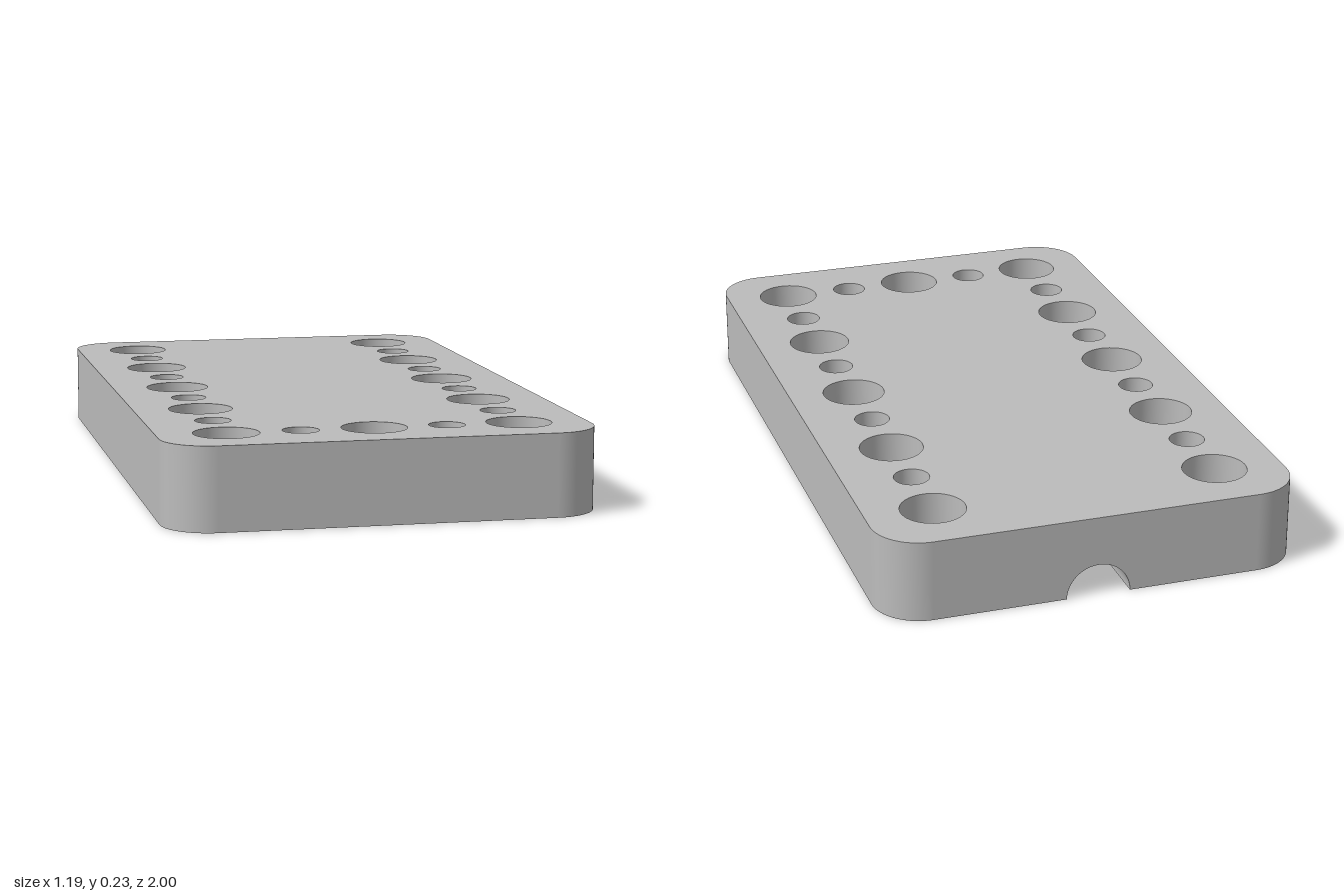
import * as THREE from 'three';

const W = 0.595, L = 1, H = 0.23;        // half width, half length, height
const R = 0.135;                         // corner radius
const CX = W - R, CZ = L - R;            // corner centres
const G = 0.09, G_END = 0.66;            // groove radius and its closed end
const PITCH = 0.405, BIG = 0.09, SMALL = 0.05;

// Hole pattern: a column down each side and a row along the front
function holeList() {
  const holes = [];
  for (const x of [-PITCH, PITCH]) {
    for (let i = -4; i <= 4; i++) {
      holes.push({ x, z: i * PITCH / 2, r: i % 2 ? SMALL : BIG });
    }
  }
  for (let i = -1; i <= 1; i++) {
    holes.push({ x: i * PITCH / 2, z: 2 * PITCH, r: i ? SMALL : BIG });
  }
  return holes;
}

// Rounded rectangle with holes; zSign maps z to the shape's y
function faceShape(holes, zSign, withSlot) {
  const s = new THREE.Shape();
  s.moveTo(-CX, -L);
  if (withSlot) {
    s.lineTo(-G, -L);
    s.lineTo(-G, G_END);
    s.lineTo(G, G_END);
    s.lineTo(G, -L);
  }
  s.lineTo(CX, -L);
  s.absarc(CX, -CZ, R, -Math.PI / 2, 0);
  s.absarc(CX, CZ, R, 0, Math.PI / 2);
  s.absarc(-CX, CZ, R, Math.PI / 2, Math.PI);
  s.absarc(-CX, -CZ, R, Math.PI, Math.PI * 1.5);
  for (const h of holes) {
    const p = new THREE.Path();
    p.absarc(h.x, zSign * h.z, h.r, 0, Math.PI * 2, true);
    s.holes.push(p);
  }
  return s;
}

export function createModel() {
  const model = new THREE.Group();
  model.name = 'drilledBlock';
  const grey = new THREE.MeshStandardMaterial({ color: 0xbcbcbc, side: THREE.DoubleSide });
  grey.name = 'grey';

  const add = (name, geometry, x = 0, y = 0, z = 0) => {
    const mesh = new THREE.Mesh(geometry, grey);
    mesh.name = name;
    mesh.position.set(x, y, z);
    model.add(mesh);
  };
  const holes = holeList();

  // Top and bottom faces
  add('topFace', new THREE.ShapeGeometry(faceShape(holes, -1, false), 24).rotateX(-Math.PI / 2), 0, H, 0);
  add('bottomFace', new THREE.ShapeGeometry(faceShape(holes, 1, true), 24).rotateX(Math.PI / 2));

  // Rounded corners
  [[1, 1], [1, -1], [-1, -1], [-1, 1]].forEach(([sx, sz], i) => {
    add('roundedCorner', new THREE.CylinderGeometry(R, R, H, 24, 1, true, i * Math.PI / 2, Math.PI / 2),
      sx * CX, H / 2, sz * CZ);
  });

  // Flat side walls and front wall
  for (const s of [-1, 1]) {
    add(s > 0 ? 'leftWall' : 'rightWall',
      new THREE.PlaneGeometry(2 * CZ, H).rotateY(s * Math.PI / 2), s * W, H / 2, 0);
  }
  add('frontWall', new THREE.PlaneGeometry(2 * CX, H), 0, H / 2, L);

  // Back wall with the groove mouth cut out
  const back = new THREE.Shape();
  back.moveTo(-CX, 0);
  back.lineTo(-G, 0);
  back.absarc(0, 0, G, Math.PI, 0, true);
  back.lineTo(CX, 0);
  back.lineTo(CX, H);
  back.lineTo(-CX, H);
  add('backWall', new THREE.ShapeGeometry(back, 32).rotateY(Math.PI), 0, 0, -L);

  // Half-round groove underneath and its flat end
  add('groove', new THREE.CylinderGeometry(G, G, L + G_END, 32, 1, true, Math.PI / 2, Math.PI)
    .rotateX(Math.PI / 2), 0, 0, (G_END - L) / 2);
  add('grooveEnd', new THREE.CircleGeometry(G, 32, 0, Math.PI).rotateY(Math.PI), 0, 0, G_END);

  // Bores of the through holes
  for (const h of holes) {
    add(h.r === BIG ? 'largeHole' : 'smallHole',
      new THREE.CylinderGeometry(h.r, h.r, H, 48, 1, true), h.x, H / 2, h.z);
  }
  return model;
}
